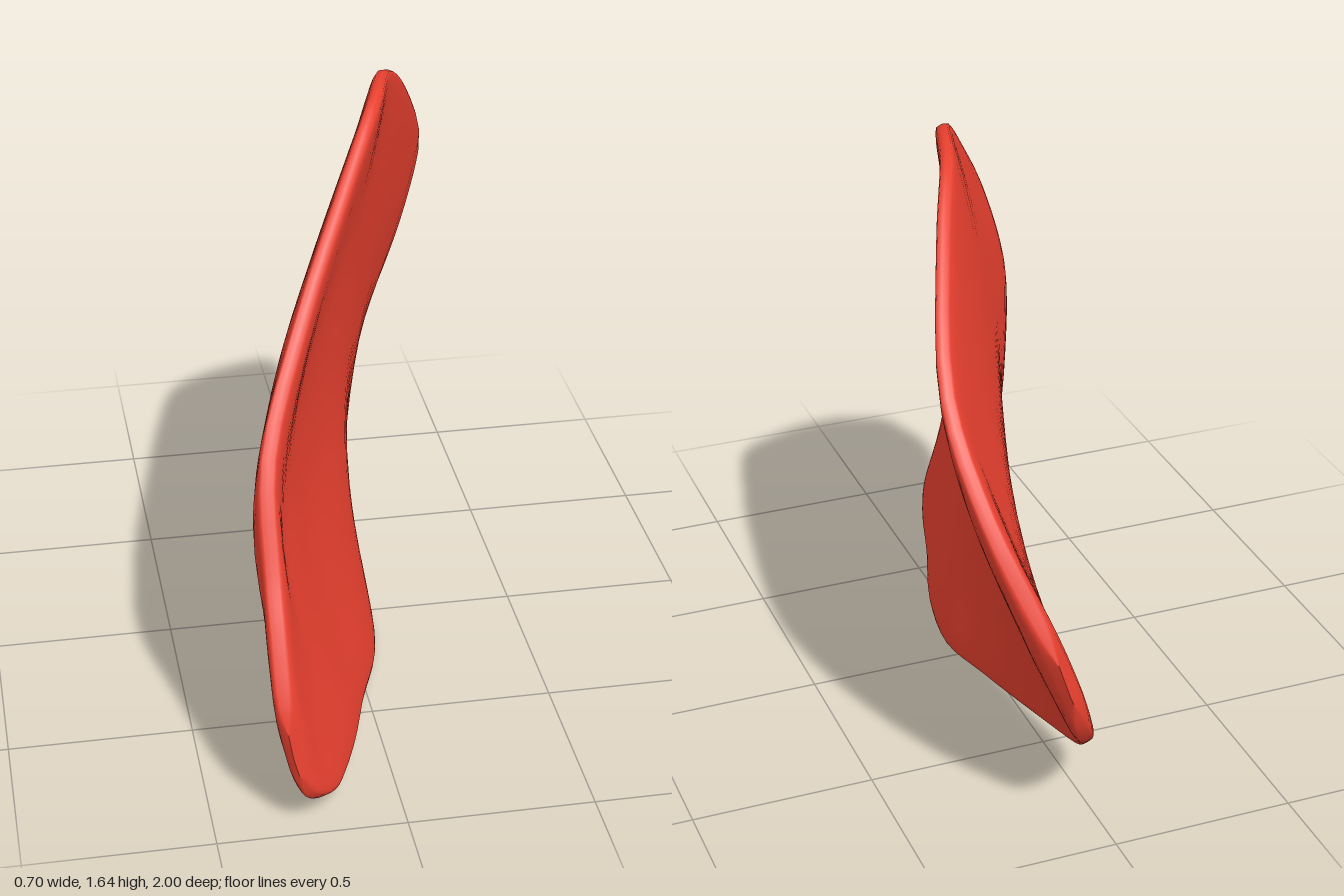
import * as THREE from 'three';

// Stations from front to back: z, bottom y, top y, half thickness,
// then the x of the mid-surface at five even heights from bottom to top.
const STATIONS = [
  [1.0, 0.19, 0.31, 0, -0.285, -0.293, -0.3, -0.305, -0.31],
  [0.975, 0.1, 0.39, 0.03, -0.245, -0.27, -0.287, -0.303, -0.318],
  [0.9, 0.05, 0.55, 0.039, -0.185, -0.235, -0.274, -0.303, -0.32],
  [0.83, 0.048, 0.68, 0.04, -0.15, -0.213, -0.266, -0.302, -0.32],
  [0.7, 0.045, 0.95, 0.041, -0.1, -0.188, -0.26, -0.31, -0.308],
  [0.5, 0.035, 1.25, 0.041, -0.04, -0.15, -0.226, -0.243, -0.18],
  [0.27, 0.015, 1.48, 0.041, 0.035, -0.08, -0.145, -0.13, -0.035],
  [0.06, 0, 1.628, 0.041, 0.06, -0.02, -0.053, -0.016, 0.08],
  [-0.15, 0.02, 1.628, 0.041, 0.03, 0.003, 0.022, 0.075, 0.145],
  [-0.35, 0.045, 1.5, 0.041, 0, 0.033, 0.085, 0.155, 0.23],
  [-0.65, 0.1, 1.2, 0.041, -0.035, 0.055, 0.15, 0.25, 0.332],
  [-0.83, 0.215, 0.94, 0.04, 0.012, 0.082, 0.155, 0.228, 0.295],
  [-0.955, 0.345, 0.69, 0.034, 0.083, 0.11, 0.143, 0.175, 0.205],
  [-1.0, 0.47, 0.58, 0, 0.13, 0.14, 0.149, 0.158, 0.167],
];
const AROUND = 64;
const ALONG = (STATIONS.length - 1) * 4;

// Closed, thin cross-section with a blunt rounded rim at its top and bottom
function section([z, bottom, top, half, ...xs]) {
  const spine = new THREE.CatmullRomCurve3(
    xs.map((x, k) => new THREE.Vector3(x, bottom + (top - bottom) * k / 4, z)));
  const loop = [];
  for (let j = 0; j < AROUND; j++) {
    const t = j / AROUND * Math.PI * 2;
    const v = 0.5 - 0.5 * Math.cos(t);
    const p = spine.getPoint(v);
    const tangent = spine.getTangent(v);
    const s = Math.sin(t);
    const offset = half * Math.sign(s) * Math.pow(Math.abs(s), 0.42);
    p.x += tangent.y * offset;
    p.y = Math.max(0, p.y - tangent.x * offset);
    loop.push(p);
  }
  return loop;
}

// Skin the sections with smooth lengthwise curves
function curvedPanelGeometry() {
  const loops = STATIONS.map(section);
  const rails = [];
  for (let j = 0; j < AROUND; j++) {
    rails.push(new THREE.CatmullRomCurve3(loops.map(l => l[j]), false, 'centripetal'));
  }
  const positions = [], indices = [];
  for (let i = 0; i <= ALONG; i++) {
    for (const rail of rails) positions.push(...rail.getPoint(i / ALONG).toArray());
  }
  for (let i = 0; i < ALONG; i++) {
    for (let j = 0; j < AROUND; j++) {
      const next = (j + 1) % AROUND;
      const a = i * AROUND + j, d = i * AROUND + next;
      const b = a + AROUND, c = d + AROUND;
      indices.push(a, b, c, a, c, d);
    }
  }
  const geometry = new THREE.BufferGeometry();
  geometry.setAttribute('position', new THREE.Float32BufferAttribute(positions, 3));
  geometry.setIndex(indices);
  geometry.computeVertexNormals();
  return geometry;
}

export function createModel() {
  const group = new THREE.Group();
  group.name = 'curvedChip';
  // Twisted rounded-triangle shell
  const shell = new THREE.Mesh(
    curvedPanelGeometry(),
    new THREE.MeshStandardMaterial({ color: 0xe8402f }));
  shell.name = 'twistedShell';
  group.add(shell);
  return group;
}
